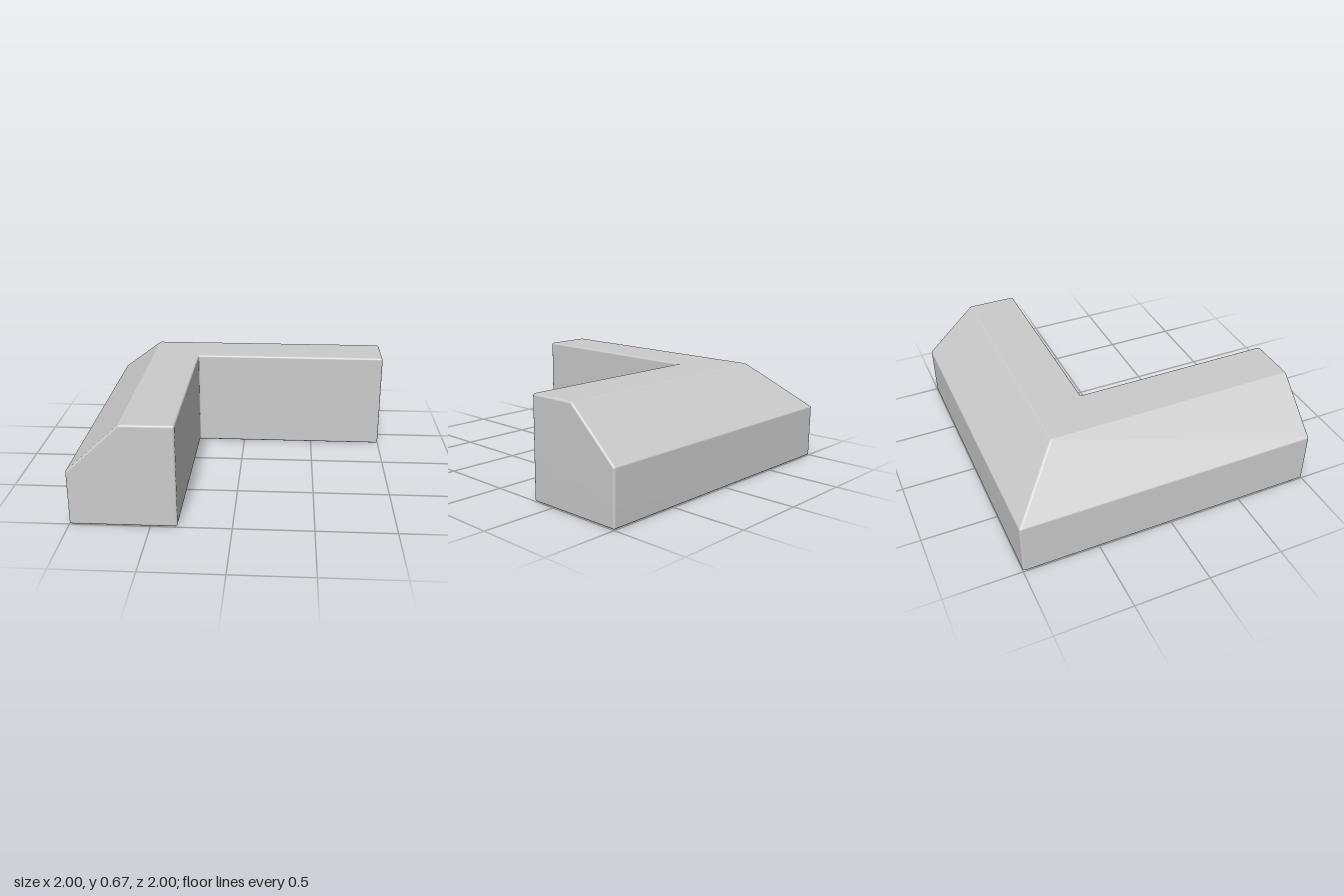
import * as THREE from 'three';
import { mergeVertices } from 'three/addons/utils/BufferGeometryUtils.js';

const R = 0.014; // radius of the softened edges
const STEPS = 4;

// Cross-section corners: u = distance inward from the outer walls, y = height
const CORNERS = [[0, 0], [0.665, 0], [0.665, 0.665], [0.335, 0.665], [0, 0.355]]
  .map(([u, y]) => new THREE.Vector2(u, y));

// Rounded section as arc centres plus outward directions
function roundedSection() {
  const n = CORNERS.length, section = [];
  const normal = (a, b) => new THREE.Vector2(b.y - a.y, a.x - b.x).normalize();
  CORNERS.forEach((p, i) => {
    const n1 = normal(CORNERS[(i + n - 1) % n], p);
    const n2 = normal(p, CORNERS[(i + 1) % n]);
    const centre = p.clone().addScaledVector(n1.clone().add(n2), -R / (1 + n1.dot(n2)));
    const a1 = n1.angle();
    const turn = (n2.angle() - a1 + 2 * Math.PI) % (2 * Math.PI);
    for (let k = 0; k <= STEPS; k++) {
      const a = a1 + turn * k / STEPS;
      section.push({ centre, dir: new THREE.Vector2(Math.cos(a), Math.sin(a)) });
    }
  });
  return section;
}

// Stations along the L: rounded front end, softened mitre, rounded left end
function stations() {
  const list = [];
  const end = (k, place) => {
    const t = k / STEPS * Math.PI / 2;
    const along = 1 - R + R * Math.sin(t);
    list.push({ radius: R * Math.cos(t), place: u => place(u, along) });
  };
  for (let k = STEPS; k >= 0; k--) end(k, (u, s) => [-1 + u, s]);
  for (let k = 0; k <= STEPS; k++) {
    const t = k / STEPS;
    list.push({ radius: R, place: u => [-1 + u + R * t * t, -1 + u + R * (1 - t) * (1 - t)] });
  }
  for (let k = 0; k <= STEPS; k++) end(k, (u, s) => [s, -1 + u]);
  return list;
}

function cornerBlockGeometry() {
  const section = roundedSection(), rings = stations();
  const n = section.length, positions = [], index = [];

  for (const { radius, place } of rings) {
    for (const { centre, dir } of section) {
      const [x, z] = place(centre.x + dir.x * radius);
      positions.push(x, centre.y + dir.y * radius, z);
    }
  }
  // Walls between neighbouring rings
  for (let i = 0; i < rings.length - 1; i++) {
    for (let j = 0; j < n; j++) {
      const a = i * n + j, b = i * n + (j + 1) % n;
      index.push(a, a + n, b, b, a + n, b + n);
    }
  }
  // Flat caps on both arm ends
  const last = rings.length - 1;
  for (const i of [0, last]) {
    const [x, z] = rings[i].place(0.36);
    const mid = positions.length / 3;
    positions.push(x, 0.3, z);
    for (let j = 0; j < n; j++) {
      const a = i * n + j, b = i * n + (j + 1) % n;
      if (i === 0) index.push(mid, a, b);
      else index.push(mid, b, a);
    }
  }

  const geometry = new THREE.BufferGeometry();
  geometry.setAttribute('position', new THREE.Float32BufferAttribute(positions, 3));
  geometry.setIndex(index);
  const merged = mergeVertices(geometry);
  merged.computeVertexNormals(); // area weighted, so the broad faces stay flat
  return merged;
}

export function createModel() {
  const group = new THREE.Group();
  group.name = 'cornerBlock';
  const block = new THREE.Mesh(
    cornerBlockGeometry(),
    new THREE.MeshStandardMaterial({ color: 0xcccccc })
  );
  block.name = 'mitredCornerBlock';
  group.add(block);
  return group;
}
